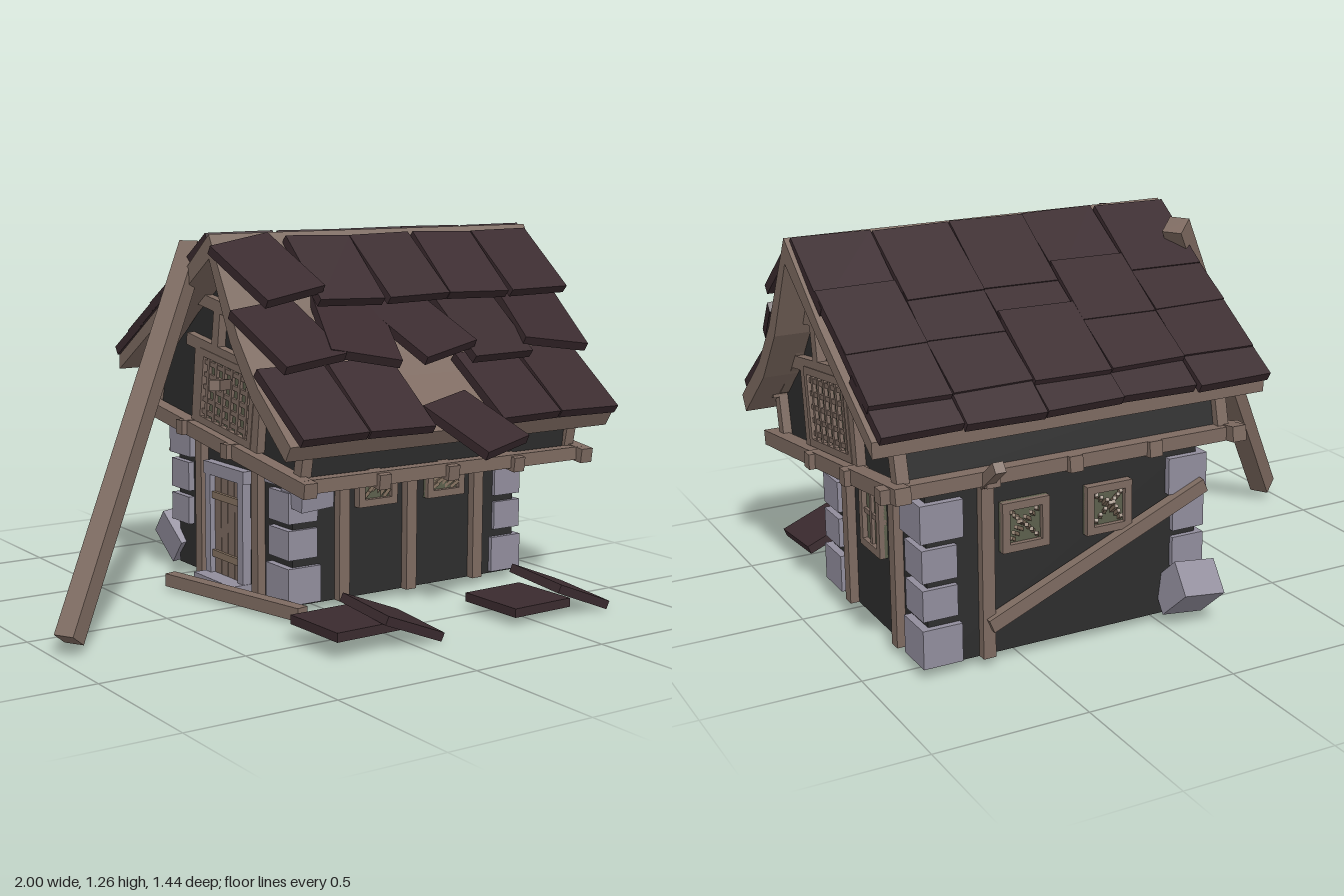
import * as THREE from 'three';

const mat = (color, extra = {}) => new THREE.MeshStandardMaterial({ color, flatShading: true, ...extra });
const wood = mat(0x7d6a60), wall = mat(0x2d2d2d), stone = mat(0x918d9c);
const tileMat = mat(0x3a2a2e), glass = mat(0x5c5f4c), lattice = mat(0x857260);
const MID = 0.34; // x of the house's middle

export function createModel() {
  const model = new THREE.Group();
  model.name = 'ruinedCottage';

  const box = (name, size, pos, material, rot = [0, 0, 0], parent = model) => {
    const m = new THREE.Mesh(new THREE.BoxGeometry(...size), material);
    m.position.set(...pos);
    m.rotation.set(...rot);
    m.name = name;
    parent.add(m);
    return m;
  };

  // Square timber running from point a to point b
  const beam = (name, a, b, w = 0.045, h = w, parent = model, material = wood) => {
    const from = new THREE.Vector3(...a), to = new THREE.Vector3(...b);
    const m = box(name, [w, h, from.distanceTo(to)], [0, 0, 0], material, [0, 0, 0], parent);
    m.position.copy(from).add(to).multiplyScalar(0.5);
    m.lookAt(to);
    return m;
  };

  // Profile given as [z, y], swept along x
  const sweep = (name, pts, x0, x1, material) => {
    const shape = new THREE.Shape(pts.map(([z, y]) => new THREE.Vector2(-z, y)));
    const geo = new THREE.ExtrudeGeometry(shape, { depth: x1 - x0, bevelEnabled: false });
    geo.rotateY(Math.PI / 2).translate(x0, 0, 0);
    const m = new THREE.Mesh(geo, material);
    m.name = name;
    model.add(m);
  };

  // Framed window facing +z locally, with straight or diagonal bars
  const windowUnit = (name, w, h, pos, rotY, nx, ny, diagonal = false, tilt = 0) => {
    const g = new THREE.Group();
    g.name = name;
    g.position.set(...pos);
    g.rotation.set(0, rotY, tilt, 'YXZ');
    model.add(g);
    const t = 0.025;
    box('pane', [w, h, 0.012], [0, 0, 0], glass, [0, 0, 0], g);
    for (const s of [-1, 1]) {
      box('frameSide', [t, h, 0.035], [s * (w - t) / 2, 0, 0.005], wood, [0, 0, 0], g);
      box('frameRail', [w, t, 0.035], [0, s * (h - t) / 2, 0.005], wood, [0, 0, 0], g);
    }
    if (diagonal) {
      const a = w / 2 - t, b = h / 2 - t;
      for (let i = -3; i <= 3; i++) for (const s of [-1, 1]) {
        // clip each diagonal to the opening
        const c = (i / 4) * (a + b), x0 = Math.max(-a, c - b), x1 = Math.min(a, c + b);
        beam('latticeBar', [s * x0, x0 - c, 0.01], [s * x1, x1 - c, 0.01], 0.011, 0.011, g, lattice);
      }
    } else {
      for (let i = 1; i < nx; i++) box('bar', [0.016, h, 0.02], [(i / nx - 0.5) * w, 0, 0.007], wood, [0, 0, 0], g);
      for (let i = 1; i < ny; i++) box('bar', [w, 0.016, 0.02], [0, (i / ny - 0.5) * h, 0.005], wood, [0, 0, 0], g);
    }
  };

  // Lower storey, sagging upper storey and roof shell
  sweep('lowerWalls', [[0.19, 0.03], [0.19, 0.5], [-0.57, 0.6], [-0.57, 0.03]], -0.13, 0.81, wall);
  sweep('upperWalls', [[0.38, 0.5], [0.4, 0.67], [0.15, 0.91], [0, 1.2], [-0.28, 0.99], [-0.55, 0.77], [-0.58, 0.62]],
    -0.2, 0.88, wall);
  sweep('roofShell', [[0.49, 0.63], [0.3, 0.79], [0.18, 0.94], [0, 1.26], [-0.28, 1.04], [-0.645, 0.8],
    [-0.645, 0.75], [-0.29, 0.98], [0, 1.18], [0.13, 0.92], [0.26, 0.75], [0.46, 0.58]], -0.33, 1.0, wood);

  // Sill beams and joists under the upper storey
  const sillY = z => 0.54 - 0.135 * z;
  beam('frontSill', [-0.25, sillY(0.41), 0.41], [0.93, sillY(0.41), 0.41]);
  beam('backSill', [-0.28, sillY(-0.6), -0.6], [0.97, sillY(-0.6), -0.6]);
  beam('frontPlate', [-0.25, 0.66, 0.4], [0.93, 0.66, 0.4]);
  beam('backPlate', [-0.25, 0.76, -0.56], [0.93, 0.76, -0.56]);
  for (const x of [0.06, MID, 0.62])
    beam('joist', [x, sillY(0.45) - 0.005, 0.45], [x, sillY(-0.64) - 0.005, -0.64], 0.045, 0.05);

  // Timbered gables: [z, y] pairs of each strut
  const struts = [
    [[0.37, 0.5], [0.41, 0.7]], [[-0.59, 0.61], [-0.55, 0.78]],
    [[0.3, 0.79], [-0.33, 0.885]], [[0.14, 0.97], [-0.25, 1.03]],
    [[0.11, 0.55], [0.14, 0.81]], [[-0.28, 0.6], [-0.25, 0.86]],
    [[0.02, 0.85], [0.04, 0.99]], [[-0.14, 0.87], [-0.12, 1.01]],
    [[-0.04, 1.0], [-0.02, 1.16]], [[0.24, 0.8], [0.02, 1.17]], [[0.38, 0.67], [0.24, 0.8]],
  ];
  for (const s of [-1, 1]) {
    const x = MID + s * 0.55;
    for (const [a, b] of struts) beam('gableStrut', [x, a[1], a[0]], [x, b[1], b[0]], 0.04, 0.042);
    const sx = MID + s * 0.575;
    beam('gableSill', [sx, sillY(0.46), 0.46], [sx, sillY(-0.66), -0.66], 0.05, 0.05);
    for (const z of [0, -0.3])
      beam('crossJoistEnd', [MID + s * 0.4, sillY(z), z], [MID + s * 0.62, sillY(z), z], 0.042, 0.05);
    windowUnit('gableWindow', 0.36, 0.26, [x, 0.708, -0.07], s * Math.PI / 2, 7, 6, false, s * 0.135);
    // lower side posts
    for (const z of [0, -0.38])
      box('sidePost', [0.04, sillY(z) - 0.03, 0.042], [MID + s * 0.48, sillY(z) / 2 + 0.015, z], wood);
  }

  // Lower front and back posts and windows
  for (const x of [0.06, MID, 0.63]) box('frontPost', [0.042, 0.46, 0.04], [x, 0.26, 0.2], wood);
  box('backPost', [0.042, 0.56, 0.04], [0.62, 0.31, -0.58], wood);
  for (const x of [0.2, 0.49]) {
    windowUnit('frontWindow', 0.16, 0.14, [x, 0.41, 0.195], 0, 0, 0, true);
    windowUnit('backWindow', 0.16, 0.16, [x, 0.44, -0.575], Math.PI, 0, 0, true);
  }
  windowUnit('sideWindow', 0.16, 0.24, [0.815, 0.4, -0.2], Math.PI / 2, 2, 2);

  // Door with stone surround and step
  for (let i = 0; i < 4; i++) box('doorPlank', [0.02, 0.36, 0.042], [-0.135, 0.22, -0.268 + i * 0.045], wood);
  for (const y of [0.12, 0.33]) box('doorBatten', [0.012, 0.025, 0.18], [-0.15, y, -0.2], lattice);
  for (const s of [-1, 1]) box('doorJamb', [0.045, 0.39, 0.035], [-0.14, 0.225, -0.2 + s * 0.11], stone);
  box('doorLintel', [0.05, 0.045, 0.27], [-0.14, 0.425, -0.2], stone);
  box('doorStep', [0.1, 0.03, 0.26], [-0.16, 0.035, -0.2], stone);

  // Corner stones; one has fallen out at the back
  const levels = [[0.1, 0.125, 0.015], [0.24, 0.1, 0], [0.365, 0.105, 0], [0.495, 0.12, 0.025]];
  for (const s of [-1, 1]) for (const front of [true, false]) levels.forEach(([y, h, grow], i) => {
    if (s < 0 && !front && i === 0) return;
    const lift = !front && i === 3 ? 0.005 : 0;
    box('cornerStone', [0.115 + grow, h, 0.125 + grow],
      [MID + s * (0.435 - grow * 0.3), y + lift, front ? 0.14 - grow * 0.3 : -0.525 + grow * 0.3], stone);
  });
  for (const s of [-1, 1]) box('topStone', [0.12, 0.07, 0.1], [MID + s * 0.42, 0.57, -0.46], stone);
  box('slippedStone', [0.13, 0.13, 0.12], [-0.08, 0.435, 0.205], stone, [0.12, 0.05, 0.05]);
  box('fallenStone', [0.15, 0.12, 0.15], [-0.08, 0.125, -0.62], stone, [0.75, 0.1, 0.08]);

  // Roof tiles: each row runs from an upper to a lower [z, y]
  const tile = (x, a, b, w, roll = 0, lift = 0) => {
    const m = beam('roofTile', [x, a[1], a[0]], [x, b[1], b[0]], w, 0.032, model, tileMat);
    m.rotateY(roll);
    m.rotateX(-lift);
    m.position.y += Math.abs(lift) * 0.1;
  };
  const frontRows = [[[0.03, 1.235], [0.26, 1.04]], [[0.15, 1.03], [0.39, 0.84]], [[0.28, 0.84], [0.54, 0.65]]];
  const frontRolls = [[0.22, -0.04, 0.03, -0.03, 0.02], [0.16, -0.3, 0.25, 0.02, -0.22], [0.02, -0.02, null, 0.02, -0.02]];
  const backRows = [[[-0.02, 1.25], [-0.27, 1.085]], [[-0.2, 1.13], [-0.42, 0.99]],
    [[-0.35, 1.035], [-0.6, 0.88]], [[-0.48, 0.94], [-0.68, 0.81]]];
  for (let c = 0; c < 5; c++) {
    const x = -0.2 + c * 0.262;
    frontRows.forEach(([a, b], r) => {
      const roll = frontRolls[r][c];
      if (roll !== null) tile(x, a, b, 0.25, roll, Math.abs(roll) > 0.1 ? 0.12 : 0);
    });
    backRows.forEach(([a, b], r) => {
      const dz = ((c * 2 + r) % 3 - 1) * 0.008;
      tile(x + 0.01, [a[0] + dz, a[1]], [b[0] + dz, b[1]], 0.258, ((c + r) % 2 - 0.5) * 0.03);
    });
  }
  tile(0.33, [0.44, 0.72], [0.69, 0.59], 0.22, 0.28);

  // Tiles on the ground
  for (const x of [-0.18, 0.52]) {
    box('groundTile', [0.24, 0.03, 0.25], [x, x < 0 ? 0.075 : 0.045, 0.57], tileMat, [0, 0.03, 0]);
    box('groundTile', [0.24, 0.03, 0.25], [x + 0.17, 0.07, 0.585], tileMat, [0.08, 0, -0.38]);
  }

  // Loose timbers
  beam('leaningBeam', [-0.95, 0.05, 0.2], [-0.27, 1.21, -0.21], 0.07);
  beam('fallenBeam', [-0.3, 0.035, -0.34], [-0.16, 0.035, 0.3], 0.045);
  beam('slippedBrace', [0.62, 0.14, -0.6], [-0.14, 0.46, -0.6], 0.035, 0.045);
  beam('brokenEnd', [0.63, 0.6, -0.6], [0.63, 0.68, -0.7], 0.035);
  beam('brokenTie', [-0.25, 0.76, -0.03], [-0.37, 0.78, 0.1], 0.035);
  return model;
}
